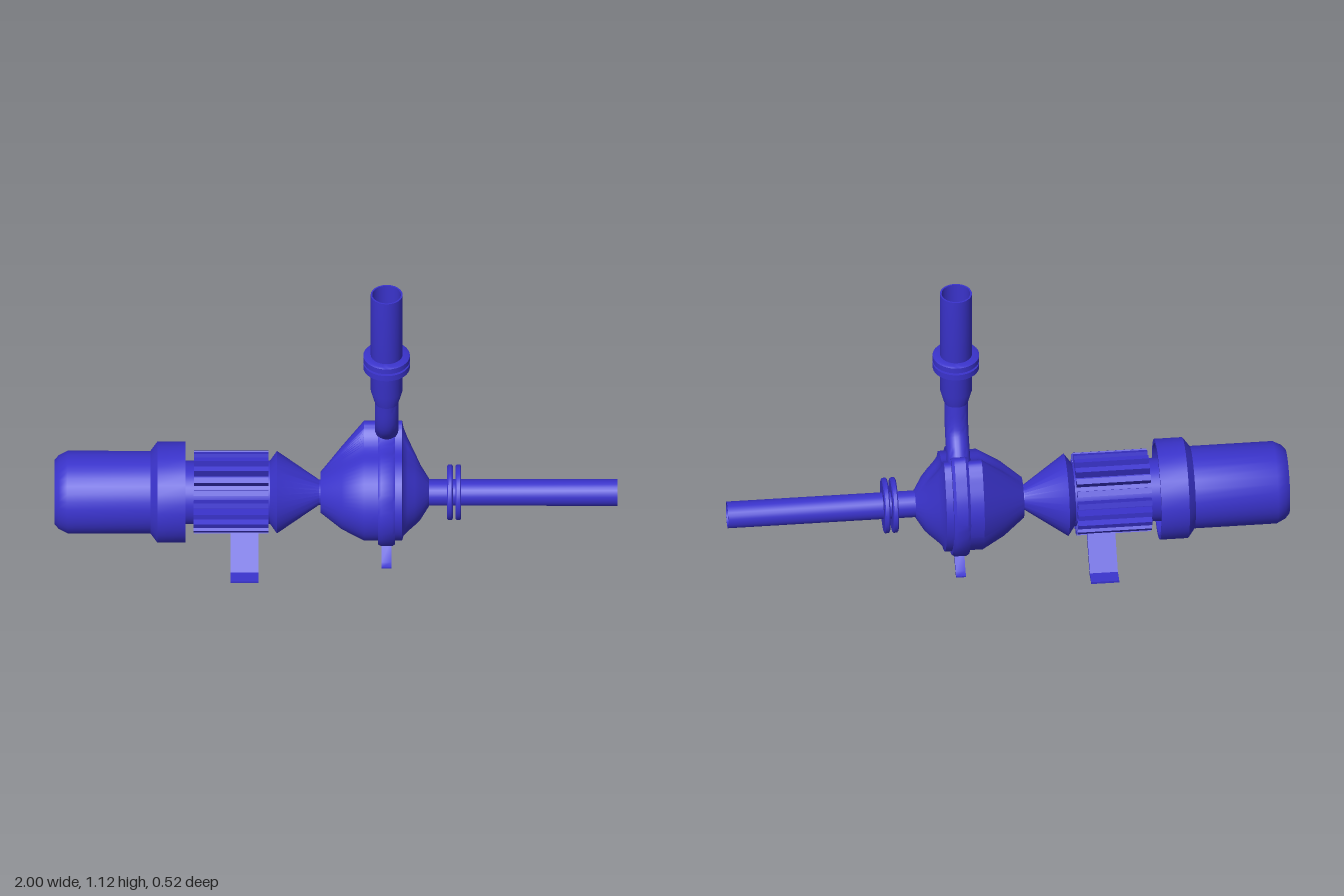
import * as THREE from 'three';
import { toCreasedNormals } from 'three/addons/utils/BufferGeometryUtils.js';

const AXIS_Y = 0.22; // height of the shaft
const OUTLET = { x: 0.18, z: 0.025 };
const paint = new THREE.MeshStandardMaterial({ color: 0x3a33cc, side: THREE.DoubleSide });

function part(name, geometry, parent) {
  const mesh = new THREE.Mesh(toCreasedNormals(geometry, 0.6), paint);
  mesh.name = name;
  parent.add(mesh);
  return mesh;
}

// Turned shape; profile is a list of [position along axis, radius]
function turned(profile, segments = 32) {
  return new THREE.LatheGeometry(profile.map(([a, r]) => new THREE.Vector2(r, a)), segments);
}

// Turned shape lying along the shaft
function shaftTurned(profile, segments) {
  return turned(profile, segments).rotateZ(-Math.PI / 2).translate(0, AXIS_Y, 0);
}

// Skin over a row of rings with equal point counts
function loft(rings) {
  const n = rings[0].length;
  const index = [];
  for (let i = 0; i < rings.length - 1; i++) {
    for (let j = 0; j < n; j++) {
      const k = (j + 1) % n;
      const a = i * n + j, b = i * n + k, c = a + n, d = b + n;
      index.push(a, b, c, b, d, c);
    }
  }
  const g = new THREE.BufferGeometry();
  g.setAttribute('position', new THREE.Float32BufferAttribute(rings.flat(2), 3));
  g.setIndex(index);
  return g;
}

// Bent strap: outline in (z, y), given a width along x
function strap(outline, x, width, side) {
  const shape = new THREE.Shape(outline.map(([z, y]) => new THREE.Vector2(z * side, y)));
  const g = new THREE.ExtrudeGeometry(shape, { depth: width, bevelEnabled: false });
  return g.rotateY(-Math.PI / 2).translate(x + width / 2, 0, 0);
}

function buildMotor(parent) {
  const motor = new THREE.Group();
  motor.name = 'motor';
  part('motorHousing', shaftTurned([
    [-1, 0], [-1, 0.115], [-0.985, 0.132], [-0.955, 0.147], [-0.62, 0.147], [-0.62, 0],
  ]), motor);
  // Open shroud around the end of the housing
  part('shroud', shaftTurned([
    [-0.66, 0.147], [-0.635, 0.18], [-0.535, 0.18], [-0.535, 0.165], [-0.62, 0.165], [-0.62, 0.14],
  ]), motor);
  part('core', shaftTurned([[-0.63, 0.113], [-0.235, 0.113], [-0.235, 0]]), motor);

  // Cooling fins
  const count = 20;
  for (let i = 0; i < count; i++) {
    const g = new THREE.BoxGeometry(0.265, 0.05, 0.02);
    g.translate(-0.373, 0.122, 0).rotateX((i / count) * Math.PI * 2).translate(0, AXIS_Y, 0);
    part('coolingFin', g, motor);
  }
  part('couplingCone', shaftTurned([
    [-0.24, 0], [-0.24, 0.105], [-0.21, 0.147], [-0.06, 0.045], [-0.04, 0.045],
  ]), motor);
  parent.add(motor);
}

function buildPump(parent) {
  const pump = new THREE.Group();
  pump.name = 'pump';
  // Spiral outline in (z, height above shaft)
  const outline = [
    [0, 0.205], [0.07, 0.19], [0.14, 0.147], [0.188, 0.075], [0.204, 0],
    [0.18, -0.085], [0.108, -0.157], [0.015, -0.188], [-0.06, -0.178],
    [-0.146, -0.135], [-0.21, -0.047], [-0.229, 0.06], [-0.21, 0.14], [-0.176, 0.2],
    [-0.145, 0.243], [-0.112, 0.268], [-0.08, 0.259], [-0.045, 0.228],
  ].map(([z, y]) => new THREE.Vector3(0, y, z));
  const spiral = new THREE.CatmullRomCurve3(outline, true).getPoints(72).slice(0, -1);

  // Ring at x: scaled spiral, blended towards a circle by t
  const ring = (x, scale, t = 0, radius = 0) => spiral.map((p) => {
    const length = Math.hypot(p.y, p.z);
    const k = ((1 - t) * length * scale + t * radius) / length;
    return [x, AXIS_Y + p.y * k, p.z * k];
  });

  part('casing', loft([
    ring(-0.055, 0, 1, 0.001), ring(-0.055, 0, 1, 0.073),
    ring(0.02, 0.72, 0.5, 0.125), ring(0.1, 0.9),
    ring(0.235, 0.9), ring(0.24, 0.81), ring(0.255, 0.72, 0.2, 0.145),
    ring(0.28, 0.6, 0.55, 0.12), ring(0.3, 0, 1, 0.098),
    ring(0.33, 0, 1, 0.05),
  ]), pump);
  part('casingRidge', loft([
    ring(0.15, 0.85), ring(0.15, 0.97), ring(0.16, 1),
    ring(0.2, 1), ring(0.21, 0.97), ring(0.21, 0.85),
  ]), pump);
  parent.add(pump);
}

function buildPipes(parent) {
  // Suction pipe along the shaft
  const inlet = new THREE.Group();
  inlet.name = 'inlet';
  part('inletPipe', shaftTurned([
    [0.32, 0.048], [1, 0.048], [1, 0.043], [0.34, 0.043],
  ], 24), inlet);
  for (const [a, b] of [[0.395, 0.415], [0.425, 0.445]]) {
    part('inletFlange', shaftTurned([
      [a, 0.045], [a, 0.094], [a + 0.004, 0.099], [b - 0.004, 0.099], [b, 0.094], [b, 0.045],
    ]), inlet);
  }
  parent.add(inlet);

  // Discharge pipe rising from the casing
  const outlet = new THREE.Group();
  outlet.name = 'outlet';
  const place = (g) => g.translate(OUTLET.x, 0, OUTLET.z);
  const bend = new THREE.CatmullRomCurve3([
    [-0.11, 0.4], [-0.055, 0.467], [-0.005, 0.525], [0.012, 0.57], [OUTLET.z, 0.655],
  ].map(([z, y]) => new THREE.Vector3(OUTLET.x, y, z)));
  part('outletBend', new THREE.TubeGeometry(bend, 16, 0.042, 24), outlet);
  part('outletPipe', place(turned([
    [0.645, 0.042], [0.7, 0.057], [1.125, 0.057], [1.125, 0.051], [0.7, 0.051],
  ], 24)), outlet);
  part('outletLowerFlange', place(turned([
    [0.785, 0.055], [0.8, 0.083], [0.823, 0.083], [0.823, 0.055],
  ])), outlet);
  part('outletUpperFlange', place(turned([
    [0.832, 0.055], [0.832, 0.083], [0.853, 0.083], [0.857, 0.076], [0.857, 0.055],
  ])), outlet);
  parent.add(outlet);
}

function buildFeet(parent) {
  const motorFoot = [
    [0.07, 0.145], [0.085, 0.16], [0.21, 0.022], [0.26, 0.02], [0.26, 0.012], [0.198, 0.008],
  ];
  const pumpFoot = [
    [0.06, 0.065], [0.085, 0.075], [0.14, 0.014], [0.163, 0.008], [0.163, 0.003], [0.135, 0],
  ];
  for (const side of [1, -1]) {
    part('motorFoot', strap(motorFoot, -0.325, 0.1, side), parent);
    part('pumpFoot', strap(pumpFoot, 0.18, 0.035, side), parent);
  }
}

export function createModel() {
  const model = new THREE.Group();
  model.name = 'motorPump';
  buildMotor(model);
  buildPump(model);
  buildPipes(model);
  buildFeet(model);
  return model;
}
